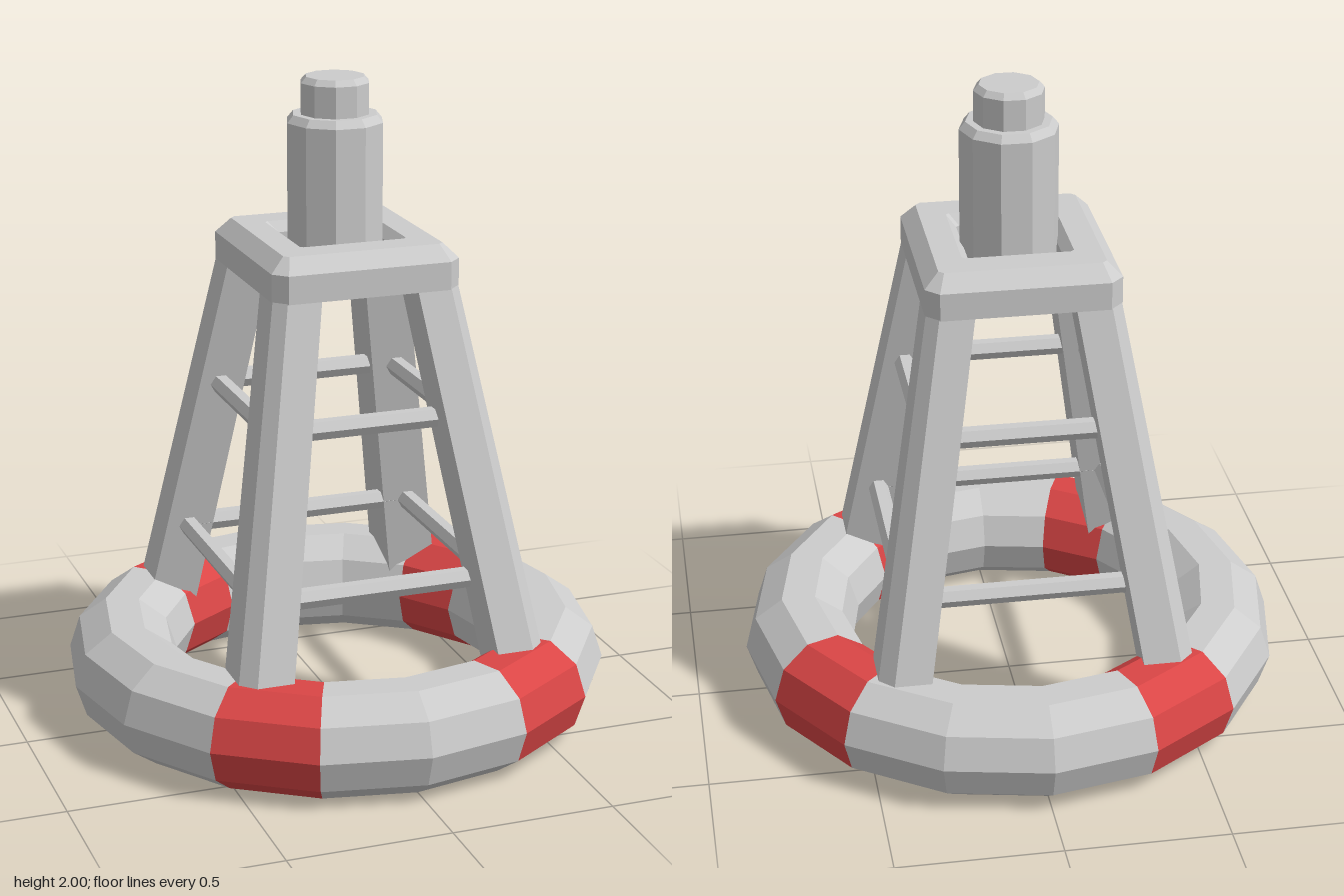
import * as THREE from 'three';

const grey = new THREE.MeshStandardMaterial({ color: 0xcccccc });
grey.name = 'light grey';
const red = new THREE.MeshStandardMaterial({ color: 0xda4646 });
red.name = 'red';

// Faceted mesh: every face gets its own normal
function part(name, geometry, material = grey) {
  const g = geometry.index ? geometry.toNonIndexed() : geometry;
  g.computeVertexNormals();
  const mesh = new THREE.Mesh(g, material);
  mesh.name = name;
  return mesh;
}

// Skin a list of equal-length rings; either closed into a loop or capped at both ends
function loft(rings, closed) {
  const n = rings[0].length, pos = rings.flat(2), idx = [];
  const last = closed ? rings.length : rings.length - 1;
  for (let i = 0; i < last; i++) {
    const k = (i + 1) % rings.length;
    for (let j = 0; j < n; j++) {
      const m = (j + 1) % n;
      const a = i * n + j, b = i * n + m, c = k * n + j, d = k * n + m;
      idx.push(a, c, b, b, c, d);
    }
  }
  if (!closed) {
    const t = last * n;
    for (let j = 1; j < n - 1; j++) idx.push(0, j, j + 1, t, t + j + 1, t + j);
  }
  const g = new THREE.BufferGeometry();
  g.setAttribute('position', new THREE.Float32BufferAttribute(pos, 3));
  g.setIndex(idx);
  return g;
}

// Rectangle with cut corners at height y
const cutRect = (a, b, c, y) => [
  [a, y, c - b], [a, y, b - c], [a - c, y, b], [c - a, y, b],
  [-a, y, b - c], [-a, y, c - b], [c - a, y, -b], [a - c, y, -b],
];

// Leg section with its outer corner cut
function legRing(sx, sz, y, xi, xo, zi, zo, c) {
  const ring = [[xi, zi], [xo, zi], [xo, zo - c], [xo - c, zo], [xi, zo]]
    .map(([x, z]) => [x * sx, y, z * sz]);
  return sx * sz < 0 ? ring.reverse() : ring;
}

// Turned part with ten sides
function turned(name, profile) {
  const g = new THREE.LatheGeometry(profile.map(([r, y]) => new THREE.Vector2(r, y)), 10);
  return part(name, g.rotateY(Math.PI / 2));
}

export function createModel() {
  const model = new THREE.Group();
  model.name = 'buoy';

  // Float ring: sixteen segments, four of them red
  const floatRing = new THREE.Group();
  floatRing.name = 'floatRing';
  const step = Math.PI / 8;
  const reds = [2, 5, 10, 14];
  reds.forEach((s, i) => {
    const next = i < 3 ? reds[i + 1] : reds[0] + 16;
    for (const [start, count, mat, name] of [
      [s, 1, red, 'redBand'], [s + 1, next - s - 1, grey, 'floatSection'],
    ]) {
      const g = new THREE.TorusGeometry(0.672, 0.17, 10, count, count * step);
      g.rotateX(Math.PI / 2).rotateY(-start * step).translate(0, 0.162, 0);
      floatRing.add(part(name, g, mat));
    }
  });
  model.add(floatRing);

  // Four leaning legs
  for (const sx of [-1, 1]) for (const sz of [-1, 1]) {
    model.add(part('leg', loft([
      legRing(sx, sz, 0.15, 0.35, 0.51, 0.415, 0.596, 0.045),
      legRing(sx, sz, 1.42, 0.147, 0.287, 0.155, 0.308, 0.035),
    ], false)));
  }

  // Crossbars on all four sides, at two heights: y, offset, half length along x and z
  for (const [y, off, hx, hz] of [[0.51, 0.373, 0.35, 0.4], [1.005, 0.292, 0.26, 0.3]]) {
    for (const s of [-1, 1]) {
      const front = new THREE.CylinderGeometry(0.032, 0.032, hx * 2, 6);
      front.rotateZ(Math.PI / 2).translate(0, y, s * off);
      const side = new THREE.CylinderGeometry(0.032, 0.032, hz * 2, 6);
      side.rotateZ(Math.PI / 2).rotateY(Math.PI / 2).translate(s * off, y, 0);
      model.add(part('crossbar', front), part('crossbar', side));
    }
  }

  // Open top frame with bevelled edges
  model.add(part('topFrame', loft([
    cutRect(0.292, 0.315, 0.04, 1.4),
    cutRect(0.292, 0.315, 0.04, 1.485),
    cutRect(0.248, 0.266, 0.015, 1.53),
    cutRect(0.167, 0.171, 0.01, 1.53),
    cutRect(0.14, 0.142, 0.01, 1.5),
    cutRect(0.14, 0.142, 0.01, 1.4),
  ], true)));

  // Lamp housing and cap
  model.add(turned('lampHousing', [[0, 1.42], [0.149, 1.42], [0.149, 1.865], [0.13, 1.888], [0, 1.888]]));
  model.add(turned('lampCap', [[0, 1.87], [0.106, 1.87], [0.106, 1.982], [0.09, 2], [0, 2]]));

  return model;
}
